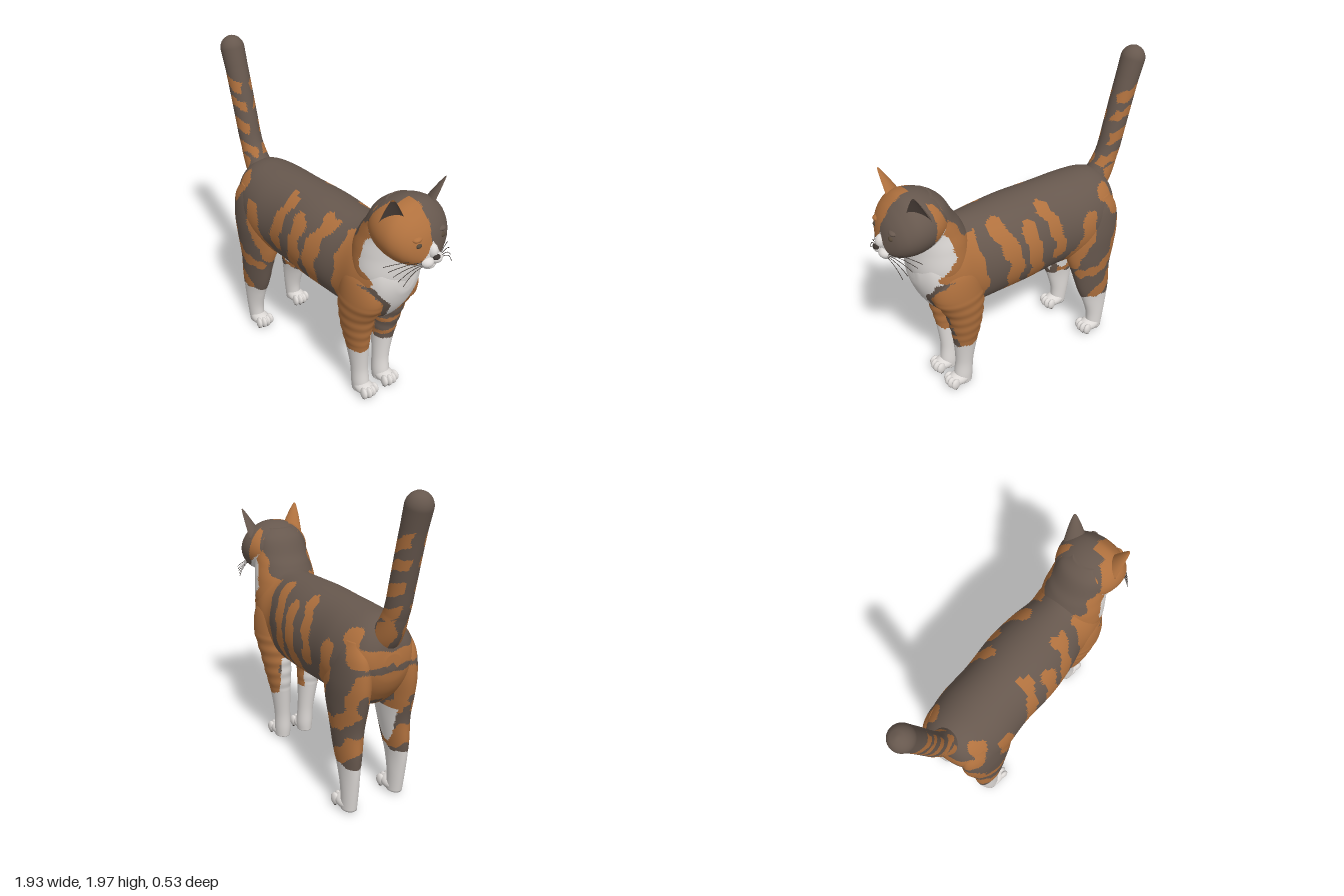
import * as THREE from 'three';

const mat = (name, color) => Object.assign(new THREE.MeshStandardMaterial({ color }), { name });
const V = (x, y, z) => new THREE.Vector3(x, y, z);
const ORANGE = 0, BROWN = 1, WHITE = 2, INNER = 3;

// Piecewise linear lookup in [[key, value], ...]
function lerpTable(t, k) {
  if (k <= t[0][0]) return t[0][1];
  for (let i = 1; i < t.length; i++) {
    if (k <= t[i][0]) return THREE.MathUtils.mapLinear(k, t[i - 1][0], t[i][0], t[i - 1][1], t[i][1]);
  }
  return t[t.length - 1][1];
}

const wobble = (p) => 0.01 * Math.sin(p.y * 34 + p.x * 21) + 0.007 * Math.sin(p.x * 57 - p.y * 23 + p.z * 40);

// Coat stripes on the flanks: half width, then x, y points
const STRIPES = [
  [0.06, -0.41, 1.0, -0.38, 0.85, -0.29, 0.68],
  [0.043, -0.09, 1.17, -0.14, 1.02, -0.17, 0.86],
  [0.052, 0.05, 1.1, 0.03, 0.9, 0.0, 0.7],
  [0.05, 0.26, 1.19, 0.18, 0.98, 0.17, 0.66],
  [0.045, -0.56, 1.13, -0.6, 1.04, -0.7, 1.0],
  [0.035, -0.69, 0.9, -0.64, 0.74, -0.6, 0.64],
  [0.04, -0.62, 0.68, -0.52, 0.6, -0.38, 0.57],
  [0.05, -0.62, 0.48, -0.56, 0.4, -0.5, 0.38],
];
function onStripe(p, wob) {
  return STRIPES.some(([w, ...c]) => [0, 2].some((i) => {
    const a = V(c[i], c[i + 1], 0), b = V(c[i + 2], c[i + 3], 0);
    return new THREE.Line3(a, b).closestPointToPoint(V(p.x, p.y, 0), true, V(0, 0, 0))
      .distanceTo(V(p.x, p.y, 0)) < w + wob;
  }));
}

const BIB_WIDTH = [[0.58, 0.045], [0.75, 0.065], [0.85, 0.11], [0.95, 0.18], [1.0, 0.3]];
const BIB_EDGE = [[0.9, 0.56], [0.98, 0.68], [1.05, 0.61], [1.12, 0.565], [1.2, 0.575], [1.3, 0.64]];
function inBib(p, wob) {
  return p.x > lerpTable(BIB_EDGE, p.y) + wob && p.y < 1.3 - (p.x - 0.63) * 0.75
    && Math.abs(p.z) < lerpTable(BIB_WIDTH, p.y) + wob;
}

// Colour rule for torso, neck and legs
function coat(p) {
  const wob = wobble(p), az = Math.abs(p.z);
  if (p.y < (p.x > 0 ? 0.375 : 0.33) + wob) return WHITE;
  if (inBib(p, wob)) return WHITE;
  if (p.y < 0.665 + wob && az < 0.15 && p.x > -0.4 && p.x < 0.42) return WHITE;
  if (p.x < 0 && p.y < 0.62 && az < 0.115) return WHITE;
  if (p.x > 0.58 && p.y < 0.95 && az < lerpTable(BIB_WIDTH, p.y) + 0.035 + wob) return BROWN;
  if (p.z < 0 && p.x > 0.47 && p.y < 0.68 && az < 0.15 && Math.sin(p.y * 60 + p.z * 25) > -0.6) return BROWN;
  if (p.y > 1.2 + wob) return p.x < 0.47 + (p.y - 1.2) * 0.6 + wob || az < 0.07 ? BROWN : ORANGE;
  if (p.x > 0.36 + 0.12 * Math.max(0, p.y - 0.9) + wob) return ORANGE;
  return onStripe(p, wob) ? ORANGE : BROWN;
}
function headCoat(p) {
  const wob = wobble(p) * 0.5;
  if (p.x > 0.86 && Math.abs(p.z) < (1.315 - p.y) * 0.75 + wob) return WHITE;
  if (p.y < 1.3 - (p.x - 0.63) * 0.75 && p.x > 0.58) return WHITE;
  if (p.x < 0.5 + (p.y - 1.2) * 0.55 + wob) return BROWN;
  if (p.z > wob) return p.x < 0.72 && p.z < 0.09 ? BROWN : ORANGE;
  return p.x < 0.68 + wob && p.z < -0.12 ? ORANGE : BROWN;
}
function tailCoat(p) {
  const wob = wobble(p), y = p.y + (p.x + 0.8) * 0.35;
  if (Math.abs(p.z) < 0.03 + wob) return BROWN;
  if (y < 1.27 && p.x < -0.66 + wob) return ORANGE;
  return [1.32, 1.44, 1.57, 1.69].some((c) => Math.abs(y - c) < 0.032 + wob) && p.z > -0.2 ? ORANGE : BROWN;
}

// Closed skin from rings f(u, angle); triangles are grouped by a colour rule
function skin(name, f, nu, nv, paint, mats) {
  const pts = [];
  for (let i = 0; i <= nu; i++) for (let j = 0; j < nv; j++) pts.push(f(i / nu, (j / nv) * Math.PI * 2));
  const centre = (i) => pts.slice(i * nv, i * nv + nv).reduce((s, p) => s.add(p), V(0, 0, 0)).divideScalar(nv);
  const first = centre(0), last = centre(nu), c0 = pts.length, c1 = c0 + 1;
  pts.push(first, last);
  const tris = [];
  for (let j = 0; j < nv; j++) {
    const k = (j + 1) % nv, e = nu * nv;
    tris.push([c0, k, j], [c1, e + j, e + k]);
    for (let i = 0; i < nu; i++) {
      const a = i * nv + j, b = i * nv + k;
      tris.push([a, b, b + nv], [a, b + nv, a + nv]);
    }
  }
  let volume = 0;
  const buckets = mats.map(() => []), q = V(0, 0, 0), cr = V(0, 0, 0);
  for (const [a, b, c] of tris) volume += pts[a].dot(cr.crossVectors(pts[b], pts[c]));
  for (const [a, b, c] of tris) {
    q.copy(pts[a]).add(pts[b]).add(pts[c]).divideScalar(3);
    buckets[paint(q, Math.floor(a / nv) / nu, ((a % nv) / nv) * Math.PI * 2)].push(...(volume > 0 ? [a, b, c] : [a, c, b]));
  }
  const geo = new THREE.BufferGeometry().setFromPoints(pts);
  geo.setIndex(buckets.flat());
  let start = 0;
  buckets.forEach((b, m) => { if (b.length) geo.addGroup(start, b.length, m); start += b.length; });
  geo.computeVertexNormals();
  const mesh = new THREE.Mesh(geo, mats);
  mesh.name = name;
  return mesh;
}

// Rings [position, low, high, z centre, half width], stacked along x or y
function loft(name, axis, rings, nu, nv, paint, mats, ripple = 0) {
  const A = new THREE.CatmullRomCurve3(rings.map((r) => V(r[0], r[1], r[2])), false, 'catmullrom');
  const B = new THREE.CatmullRomCurve3(rings.map((r) => V(r[3], r[4], 0)), false, 'catmullrom');
  return skin(name, (u, a) => {
    const s = A.getPoint(u), w = B.getPoint(u);
    const k = 1 + (s.x > 0.4 && s.x < 0.8 ? ripple * Math.sin(s.x * 75 + Math.cos(a)) : 0);
    const m = (s.y + s.z) / 2 + ((s.z - s.y) / 2) * k * Math.cos(a), z = w.x + w.y * k * Math.sin(a);
    return axis === 'x' ? V(s.x, m, z) : V(m, s.x, z);
  }, nu, nv, paint, mats);
}

function blob(name, material, pos, size, yaw = 0) {
  const m = new THREE.Mesh(new THREE.SphereGeometry(1, 20, 14), material);
  m.name = name;
  m.position.set(...pos);
  m.scale.set(...size);
  m.rotation.y = yaw;
  return m;
}

export function createModel() {
  const orange = mat('orange fur', 0xb0713e), brown = mat('brown fur', 0x67584e), white = mat('white fur', 0xdedad7);
  const inner = mat('inner ear', 0x584b44), dark = mat('dark skin', 0x3a332f), eye = mat('eye', 0x57493a);
  const mats = [orange, brown, white, inner];
  const cat = new THREE.Group();
  cat.name = 'cat';

  cat.add(loft('torso', 'x', [
    [-0.71, 0.94, 1.03, 0, 0.05], [-0.69, 0.85, 1.12, 0, 0.13], [-0.64, 0.76, 1.19, 0, 0.19],
    [-0.55, 0.67, 1.225, 0, 0.235], [-0.4, 0.63, 1.235, 0, 0.258], [-0.2, 0.635, 1.24, 0, 0.25],
    [0.05, 0.63, 1.24, 0, 0.265], [0.25, 0.62, 1.235, 0, 0.25], [0.4, 0.6, 1.235, 0, 0.222],
    [0.52, 0.6, 1.25, 0, 0.225], [0.62, 0.65, 1.25, 0, 0.205], [0.7, 0.76, 1.2, 0, 0.165],
    [0.745, 0.87, 1.08, 0, 0.09], [0.755, 0.93, 1.0, 0, 0.03]], 150, 110, coat, mats));
  cat.add(loft('neck', 'y', [
    [0.85, 0.42, 0.72, 0, 0.16], [1.0, 0.38, 0.76, 0, 0.21], [1.15, 0.39, 0.77, 0, 0.205],
    [1.25, 0.43, 0.78, 0, 0.19], [1.32, 0.475, 0.78, 0, 0.18], [1.42, 0.53, 0.75, 0, 0.15],
    [1.48, 0.6, 0.7, 0, 0.08]], 70, 84, coat, mats));
  cat.add(loft('head', 'x', [
    [0.52, 1.3, 1.39, 0, 0.06], [0.56, 1.22, 1.44, 0, 0.14], [0.62, 1.18, 1.485, 0, 0.19],
    [0.7, 1.155, 1.51, 0, 0.217], [0.78, 1.145, 1.505, 0, 0.218], [0.84, 1.15, 1.46, 0, 0.192],
    [0.88, 1.16, 1.41, 0, 0.152], [0.905, 1.17, 1.36, 0, 0.105], [0.92, 1.185, 1.3, 0, 0.06],
    [0.928, 1.21, 1.25, 0, 0.02]], 80, 80, headCoat, mats));

  // Muzzle and nose
  cat.add(blob('noseBridge', white, [0.912, 1.262, 0], [0.04, 0.045, 0.032]));
  cat.add(blob('chin', white, [0.9, 1.17, 0], [0.035, 0.028, 0.045]));
  cat.add(blob('nose', dark, [0.952, 1.237, 0], [0.016, 0.015, 0.024]));

  // Tail: round rings swept along a curve, closed by a rounded tip
  const spine = new THREE.CatmullRomCurve3([[-0.54, 1.04], [-0.65, 1.14], [-0.73, 1.3], [-0.77, 1.45],
    [-0.82, 1.65], [-0.86, 1.8], [-0.91, 1.97]].map(([x, y]) => V(x, y, 0)));
  cat.add(skin('tail', (u, a) => {
    const c = spine.getPointAt(u), t = spine.getTangentAt(u);
    const taper = u < 0.3 ? 0.1 - 0.09 * u : 0.073 + 0.006 * Math.max(0, (u - 0.8) / 0.2);
    const r = u < 0.92 ? taper : 0.077 * Math.sqrt(Math.max(0, 1 - ((u - 0.92) / 0.081) ** 2));
    return c.add(V(-t.y, t.x, 0).multiplyScalar(r * Math.cos(a))).add(V(0, 0, r * Math.sin(a)));
  }, 110, 44, tailCoat, mats));

  for (const s of [1, -1]) {
    const side = s > 0 ? 'left' : 'right';

    // Ears: crescent rings with a hollow facing forward and outward
    const n = V(0.72, 0.1, 0.68 * s).normalize(), across = V(0, 1, 0).cross(n).normalize();
    cat.add(skin(side + 'Ear', (u, a) => {
      const k = Math.pow(1 - u * 0.97, 0.75), c = Math.cos(a);
      return V(0.75, 1.41, 0.142 * s).lerp(V(0.8, 1.595, 0.2 * s), u)
        .addScaledVector(across, 0.075 * k * Math.sin(a))
        .addScaledVector(n, (c > 0 ? -0.02 * c : 0.06 * c) * k);
    }, 24, 40, (p, u, a) => (Math.cos(a) > 0.3 && u < 0.88 ? INNER : s > 0 ? ORANGE : BROWN), mats));

    // Face
    cat.add(blob(side + 'Eye', eye, [0.888, 1.318, 0.08 * s], [0.02, 0.018, 0.032], 0.6 * s));
    cat.add(blob(side + 'Brow', s > 0 ? orange : brown, [0.868, 1.352, 0.078 * s], [0.034, 0.018, 0.05], 0.6 * s));
    cat.add(blob(side + 'WhiskerPad', white, [0.908, 1.203, 0.034 * s], [0.045, 0.034, 0.044]));
    for (let i = 0; i < 5; i++) {
      const path = new THREE.QuadraticBezierCurve3(V(0.925, 1.19 + 0.007 * i, 0.055 * s),
        V(0.92 - 0.012 * i, 1.2 + 0.008 * i, 0.14 * s), V(0.9 - 0.025 * i, 1.1 + 0.025 * i, (0.19 + 0.015 * i) * s));
      const whisker = new THREE.Mesh(new THREE.TubeGeometry(path, 10, 0.0018, 5), dark);
      whisker.name = side + 'Whisker';
      cat.add(whisker);
    }

    // Legs
    const h = s > 0 ? 0 : -0.04;
    cat.add(loft(side + 'FrontLeg', 'y', [
      [1.06, 0.44, 0.6, 0.13, 0.05], [0.95, 0.38, 0.67, 0.135, 0.095], [0.8, 0.355, 0.69, 0.135, 0.11],
      [0.65, 0.355, 0.615, 0.13, 0.1], [0.5, 0.37, 0.575, 0.12, 0.083], [0.37, 0.392, 0.552, 0.107, 0.066],
      [0.2, 0.418, 0.538, 0.093, 0.054], [0.08, 0.425, 0.55, 0.088, 0.055], [0.015, 0.432, 0.55, 0.088, 0.05],
    ].map((r) => [r[0], r[1], r[2], r[3] * s, r[4]]), 100, 50, coat, mats, 0.022));
    cat.add(loft(side + 'HindLeg', 'y', [
      [1.1, -0.62, -0.42, 0.15, 0.05], [1.0, -0.68, -0.33, 0.155, 0.085], [0.85, -0.69, -0.275, 0.16, 0.1],
      [0.7, -0.665, -0.285, 0.165, 0.093], [0.55, -0.63, -0.33, 0.17, 0.08], [0.4, -0.625, -0.37, 0.177, 0.066],
      [0.28, -0.612, -0.415, 0.18, 0.054], [0.15, -0.59, -0.45, 0.18, 0.05], [0.015, -0.565, -0.45, 0.18, 0.046],
    ].map((r) => [r[0], r[1] + h * Math.max(0, 1 - r[0]), r[2] + h * Math.max(0, 1 - r[0]), r[3] * s, r[4]]),
    100, 50, coat, mats));

    // Paws with four toes and pads
    for (const [name, x, z] of [['FrontPaw', 0.525, 0.09], ['HindPaw', -0.47 + h, 0.18]]) {
      const paw = new THREE.Group();
      paw.name = side + name;
      paw.position.set(x, 0, z * s);
      paw.add(blob('foot', white, [0, 0.048, 0], [0.085, 0.045, 0.058]));
      paw.add(blob('heelPad', dark, [-0.01, 0.012, 0], [0.03, 0.012, 0.03]));
      for (let i = 0; i < 4; i++) {
        const o = i - 1.5, tx = 0.066 - 0.011 * Math.abs(o);
        paw.add(blob('toe', white, [tx, 0.045, o * 0.029], [0.034, 0.04, 0.019], -o * 0.12));
        paw.add(blob('toePad', dark, [tx, 0.01, o * 0.029], [0.014, 0.01, 0.01]));
      }
      cat.add(paw);
    }
  }
  return cat;
}
